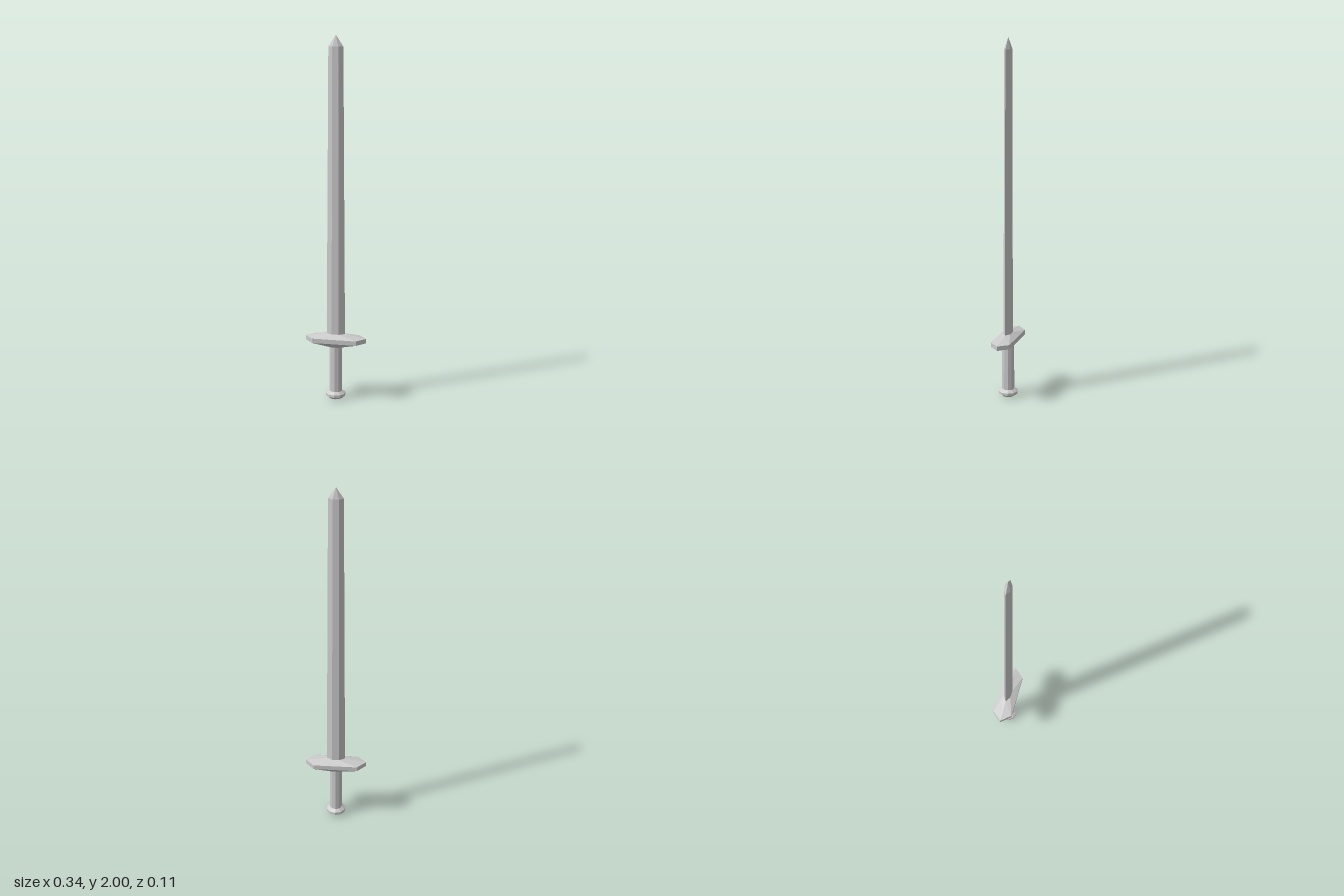
import * as THREE from 'three';

const material = new THREE.MeshStandardMaterial({ color: 0xcccccc, flatShading: true });

// Six-sided outline: half width, half width of the flat, half depth
const hex = (y, w, f, d) =>
  [[w, 0], [f, d], [-f, d], [-w, 0], [-f, -d], [f, -d]].map(([x, z]) => [x, y, z]);

// Skin stacked outlines from bottom to top and close both ends
function loft(name, rings) {
  const pos = [], n = rings[0].length;
  const tri = (a, b, c) => pos.push(...a, ...b, ...c);
  for (let r = 0; r < rings.length - 1; r++) {
    const lo = rings[r], hi = rings[r + 1];
    for (let i = 0; i < n; i++) {
      const j = (i + 1) % n;
      tri(lo[i], hi[i], hi[j]);
      tri(lo[i], hi[j], lo[j]);
    }
  }
  const first = rings[0], last = rings[rings.length - 1];
  for (let i = 1; i < n - 1; i++) {
    tri(first[0], first[i], first[i + 1]);
    tri(last[0], last[i + 1], last[i]);
  }
  const geo = new THREE.BufferGeometry();
  geo.setAttribute('position', new THREE.Float32BufferAttribute(pos, 3));
  geo.computeVertexNormals();
  const mesh = new THREE.Mesh(geo, material);
  mesh.name = name;
  return mesh;
}

// Ten-sided turned part from [radius, y] pairs
function turned(name, profile) {
  const geo = new THREE.LatheGeometry(profile.map(([r, y]) => new THREE.Vector2(r, y)), 10);
  const mesh = new THREE.Mesh(geo, material);
  mesh.name = name;
  return mesh;
}

export function createModel() {
  const sword = new THREE.Group();
  sword.name = 'sword';

  // Hexagonal blade, tapering slightly and closing to a point
  sword.add(loft('blade', [
    hex(0.36, 0.051, 0.02, 0.02),
    hex(1.94, 0.04, 0.016, 0.016),
    hex(2, 0, 0, 0),
  ]));

  // Crossguard with pointed ends, bevelled above and below
  sword.add(loft('crossguard', [
    hex(0.305, 0.036, 0.018, 0.032),
    hex(0.331, 0.168, 0.122, 0.054),
    hex(0.356, 0.168, 0.122, 0.054),
    hex(0.376, 0.051, 0.02, 0.02),
  ]));

  sword.add(turned('grip', [[0.035, 0.035], [0.034, 0.315]]));

  // Flared pommel disc
  sword.add(turned('pommel', [
    [0, 0], [0.036, 0.006], [0.054, 0.02], [0.054, 0.034], [0.036, 0.047], [0, 0.047],
  ]));

  return sword;
}
